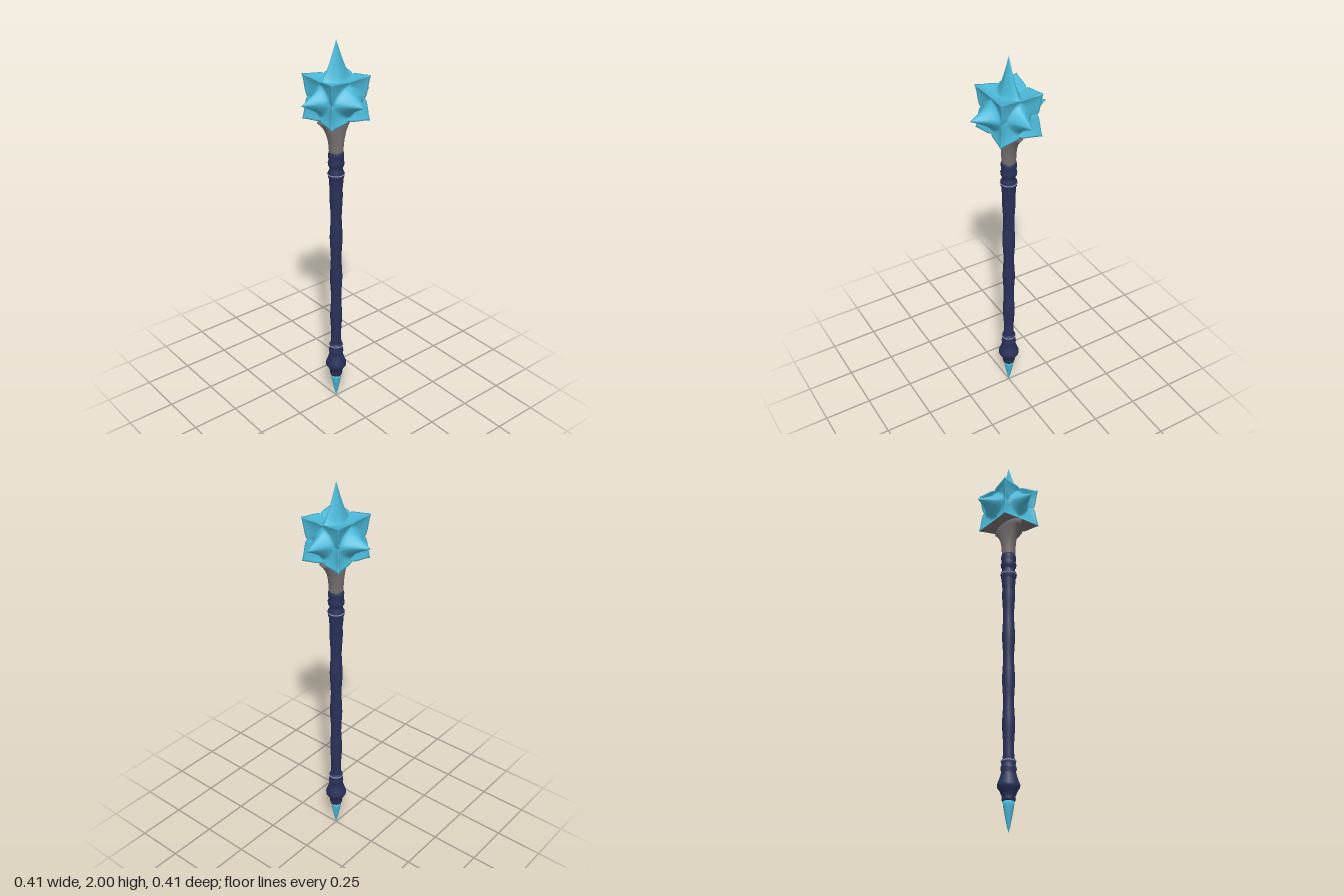
import * as THREE from 'three';
import { mergeVertices } from 'three/addons/utils/BufferGeometryUtils.js';

const material = (name, color, side = THREE.FrontSide) => {
  const m = new THREE.MeshStandardMaterial({ color, side });
  m.name = name;
  return m;
};

const lathe = (profile, sides = 20) =>
  new THREE.LatheGeometry(profile.map(([r, y]) => new THREE.Vector2(r, y)), sides);

// Spiked cube: every face rises to a concave pyramid, every corner to a small horn
function headGeometry() {
  let geo = new THREE.BoxGeometry(2, 2, 2, 32, 32, 32);
  geo.deleteAttribute('normal');
  geo.deleteAttribute('uv');
  geo = mergeVertices(geo);
  const pos = geo.attributes.position;
  // spike height and half widths along the two other axes (in axis order)
  const spikes = [
    { h: 0.118, w: [0.85, 0.7] },
    { h: 0.188, w: [0.95, 0.5] },
    { h: 0.12, w: [0.95, 0.85] },
  ];
  for (let i = 0; i < pos.count; i++) {
    const c = [pos.getX(i), pos.getY(i), pos.getZ(i)];
    const corner = Math.abs(c[0] * c[1] * c[2]);
    const scale = 0.092 + 0.015 * Math.sqrt(corner) + 0.004 * corner ** 6;
    const p = c.map((v) => v * scale);
    p[0] *= 1.05;
    for (let a = 0; a < 3; a++) {
      if (Math.abs(c[a]) < 0.9999) continue;
      const [u, v] = c.filter((_, k) => k !== a).map(Math.abs);
      // shallow dents between the spike and the corners
      p[a] -= Math.sign(c[a]) * 0.014 * (1 - u ** 4) * (1 - v ** 4);
      if (a === 1 && c[1] < 0) continue;
      const { h, w } = spikes[a];
      const s = u / w[0], t = v / w[1];
      const r = 0.6 * (s + t) + 0.4 * Math.hypot(s, t);
      if (r < 1) p[a] += Math.sign(c[a]) * h * (1 - r) ** 1.3 * 1.04;
    }
    pos.setXYZ(i, p[0], p[1], p[2]);
  }
  geo.computeVertexNormals();
  return geo;
}

// Neck: round at the shaft, flaring sideways only
function neckGeometry() {
  const geo = lathe([[0.034, 1.44], [0.037, 1.48], [0.044, 1.52], [0.056, 1.555],
    [0.073, 1.585], [0.092, 1.607], [0.112, 1.625], [0.09, 1.64], [0.03, 1.645]], 28);
  const pos = geo.attributes.position;
  for (let i = 0; i < pos.count; i++) {
    const r = Math.hypot(pos.getX(i), pos.getZ(i));
    pos.setZ(i, pos.getZ(i) * Math.min(1, 0.035 / r));
  }
  geo.computeVertexNormals();
  return geo;
}

export function createModel() {
  const crystal = material('crystal blue', 0x4bb9d9);
  const leather = material('dark navy', 0x2a3159);
  const stone = material('warm grey', 0x777170, THREE.DoubleSide);
  const trim = material('pale trim', 0x8f9abc);

  const model = new THREE.Group();
  model.name = 'spikedMace';
  const add = (name, geo, mat, y = 0) => {
    const mesh = new THREE.Mesh(geo, mat);
    mesh.name = name;
    mesh.position.y = y;
    model.add(mesh);
    return mesh;
  };

  // Head, with its underside in the neck colour
  add('spikedHead', headGeometry(),
    [crystal, crystal, crystal, stone, crystal, crystal], 1.73);
  add('neck', neckGeometry(), stone);

  // Gently wavy shaft
  const shaft = [[0.026, 0.34]];
  for (let i = 0; i <= 30; i++) {
    const y = 0.36 + i * 0.03;
    shaft.push([0.0285 + 0.0025 * Math.sin(y * 27) + 0.002 * (i / 30), y]);
  }
  shaft.push([0.035, 1.29], [0.036, 1.33]);
  add('shaft', lathe(shaft), leather);

  // Collar below the neck
  add('collar', lathe([[0.034, 1.31], [0.04, 1.325], [0.041, 1.348], [0.033, 1.362],
    [0.033, 1.375], [0.039, 1.385], [0.041, 1.4], [0.037, 1.412], [0.038, 1.425],
    [0.039, 1.445], [0.036, 1.458], [0.02, 1.46]]), leather);

  // Pommel with its swollen ring
  add('pommel', lathe([[0.012, 0.146], [0.031, 0.148], [0.034, 0.16], [0.031, 0.168],
    [0.036, 0.18], [0.044, 0.198], [0.054, 0.212], [0.055, 0.226], [0.047, 0.247],
    [0.039, 0.272], [0.035, 0.288], [0.039, 0.3], [0.038, 0.312], [0.033, 0.322],
    [0.036, 0.334], [0.035, 0.346], [0.026, 0.352]]), leather);

  // Thin trim rings
  for (const [y, r] of [[0.34, 0.0355], [1.34, 0.0405]]) {
    const ring = add('trimRing', new THREE.TorusGeometry(r, 0.003, 6, 24), trim, y);
    ring.rotation.x = Math.PI / 2;
  }

  // Crystal point at the foot
  add('footSpike', lathe([[0, 0], [0.008, 0.03], [0.018, 0.08], [0.026, 0.125],
    [0.028, 0.15], [0, 0.152]], 10), crystal);

  return model;
}
